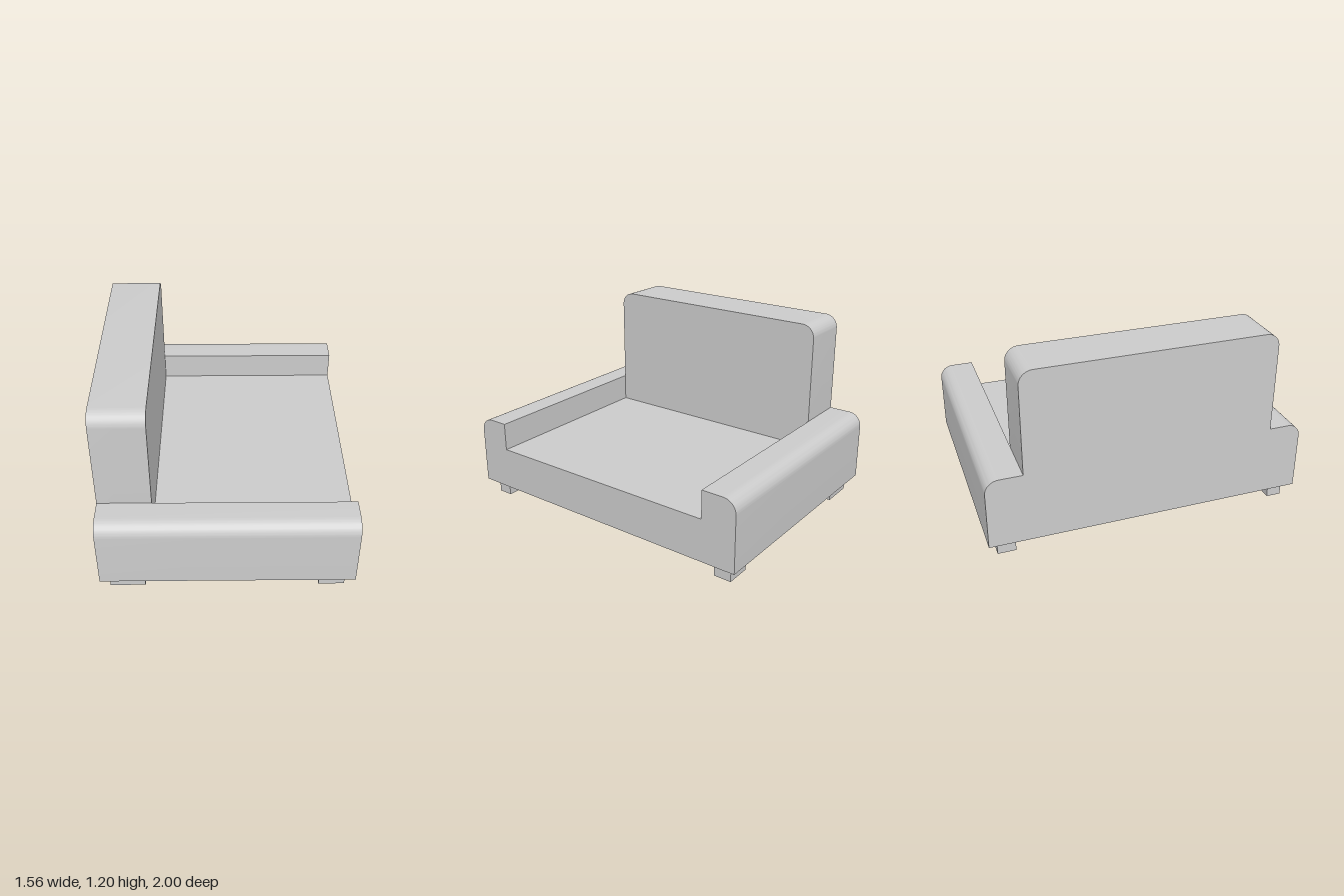
import * as THREE from 'three';
import { toCreasedNormals } from 'three/addons/utils/BufferGeometryUtils.js';

const material = new THREE.MeshStandardMaterial({ color: 0xcccccc });

function addMesh(group, name, geometry) {
  const mesh = new THREE.Mesh(geometry, material);
  mesh.name = name;
  group.add(mesh);
}

// Extrudes a profile drawn in (-z, y) along x, from x0 to x1
function extrudeAlongX(shape, x0, x1) {
  const geometry = new THREE.ExtrudeGeometry(shape, { depth: x1 - x0, bevelEnabled: false, curveSegments: 10 });
  geometry.rotateY(Math.PI / 2).translate(x0, 0, 0);
  return toCreasedNormals(geometry, Math.PI / 6);
}

export function createModel() {
  const sofa = new THREE.Group();
  sofa.name = 'sofa';

  const backX = -0.778, frontX = 0.778;
  const innerA = -0.79, innerB = 0.775; // inner arm faces, in -z
  const bottom = 0.098, seat = 0.37, armTop = 0.55, top = 1.198, r = 0.085;

  // Seat base and both arms as one U-shaped profile, outer top edges rounded
  const base = new THREE.Shape();
  base.moveTo(-1, bottom);
  base.lineTo(1, bottom);
  base.lineTo(1, armTop - r);
  base.absarc(1 - r, armTop - r, r, 0, Math.PI / 2, false);
  base.lineTo(innerB, armTop);
  base.lineTo(innerB, seat);
  base.lineTo(innerA, seat);
  base.lineTo(innerA, armTop);
  base.absarc(-1 + r, armTop - r, r, Math.PI / 2, Math.PI, false);
  base.closePath();
  addMesh(sofa, 'seatAndArms', extrudeAlongX(base, backX, frontX));

  // Backrest with rounded top corners
  const back = new THREE.Shape();
  back.moveTo(innerA, seat);
  back.lineTo(innerB, seat);
  back.absarc(innerB - r, top - r, r, 0, Math.PI / 2, false);
  back.absarc(innerA + r, top - r, r, Math.PI / 2, Math.PI, false);
  back.closePath();
  addMesh(sofa, 'backrest', extrudeAlongX(back, backX, -0.45));

  // Block legs: the pair under the backrest is longer
  for (const [pair, x0, x1] of [['backLeg', -0.725, -0.508], ['frontLeg', 0.562, 0.722]]) {
    for (const [z0, z1] of [[0.85, 0.945], [-0.943, -0.83]]) {
      const leg = new THREE.BoxGeometry(x1 - x0, bottom, z1 - z0);
      leg.translate((x0 + x1) / 2, bottom / 2, (z0 + z1) / 2);
      addMesh(sofa, pair, leg);
    }
  }
  return sofa;
}
